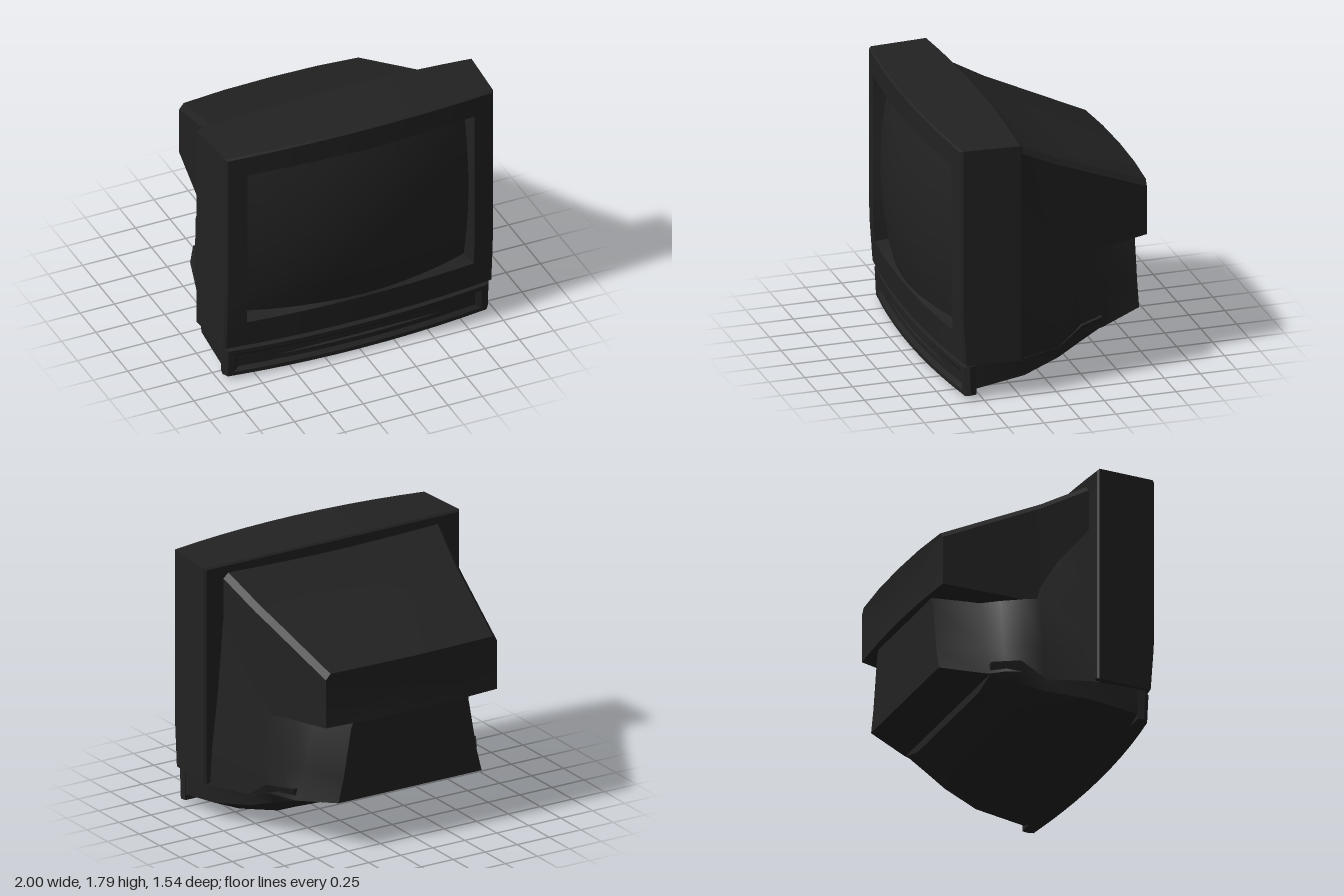
import * as THREE from 'three';
import { toCreasedNormals } from 'three/addons/utils/BufferGeometryUtils.js';

const casing = new THREE.MeshStandardMaterial({ color: 0x222222 });
casing.name = 'charcoal plastic';

// Skin closed rings (counter-clockwise from the front), listed back to front
function loft(name, rings, { capBack = true, capFront = true, crease = 0.5 } = {}) {
  const n = rings[0].length, pos = [], idx = [];
  rings.forEach(r => r.forEach(p => pos.push(...p)));
  for (let k = 0; k < rings.length - 1; k++) {
    for (let i = 0; i < n; i++) {
      const a = k * n + i, b = k * n + (i + 1) % n;
      idx.push(a, b, b + n, a, b + n, a + n);
    }
  }
  const cap = (k, front) => {
    const c = pos.length / 3, mid = [0, 1, 2].map(j => rings[k].reduce((s, p) => s + p[j], 0) / n);
    pos.push(...mid);
    for (let i = 0; i < n; i++) {
      const a = k * n + i, b = k * n + (i + 1) % n;
      idx.push(c, ...(front ? [a, b] : [b, a]));
    }
  };
  if (capBack) cap(0, false);
  if (capFront) cap(rings.length - 1, true);
  const geo = new THREE.BufferGeometry();
  geo.setAttribute('position', new THREE.Float32BufferAttribute(pos, 3));
  geo.setIndex(idx);
  const mesh = new THREE.Mesh(toCreasedNormals(geo, crease), casing);
  mesh.name = name;
  return mesh;
}

// Mirror a right-hand half outline, given top to bottom
function mirrored(z, half, bow = 0) {
  const w = Math.max(...half.map(p => p[0]));
  const put = ([x, y]) => [x, y, z - bow * (1 - (x / w) ** 2)];
  return [
    ...[...half].reverse().map(put),
    ...half.filter(p => p[0] > 0).map(([x, y]) => put([-x, y])),
  ];
}

// Subdivided rectangle with depth set by zAt(x, y) and an optional crowned top
function rect(hx, y0, y1, zAt, crown = 0, n = 10) {
  const corners = [[-hx, y0], [hx, y0], [hx, y1], [-hx, y1]], out = [];
  corners.forEach(([x, y], c) => {
    const [u, v] = corners[(c + 1) % 4];
    for (let i = 0; i < n; i++) {
      const px = x + (u - x) * i / n, py = y + (v - y) * i / n;
      const lift = c === 2 ? crown * (1 - (px / hx) ** 2) : 0;
      out.push([px, py + lift, zAt(px, py)]);
    }
  });
  return out;
}

export function createModel() {
  const tv = new THREE.Group();
  tv.name = 'television';

  // Bowed front frame with a recessed lip around the tube
  const back = x => 0.2 + 0.035 * x * x;
  const face = (x, y) => 0.718 - 0.068 * x * x - 0.025 * Math.max(0, (0.6 - y) / 0.35);
  const glass = (x, y) => 0.772 - 0.225 * x * x - 0.22 * (y - 1.05) ** 2;
  tv.add(loft('bezel', [
    rect(0.985, 0.26, 1.765, back, 0.015),
    rect(1, 0.25, 1.778, x => back(x) + 0.012, 0.015),
    rect(0.975, 0.25, 1.778, (x, y) => face(x, y) - 0.015, 0.015),
    rect(0.96, 0.26, 1.768, face, 0.015),
    rect(0.825, 0.45, 1.63, face),
    rect(0.8, 0.47, 1.61, (x, y) => Math.min(glass(x, y), face(x, y) - 0.01) - 0.005),
  ], { capFront: false }));

  // Domed picture tube, built as shrinking rings
  const rings = [];
  for (let k = 0; k < 8; k++) {
    const s = 1 - k / 8;
    rings.push(rect(0.805 * s, 1.04 - 0.575 * s, 1.04 + 0.575 * s, glass));
  }
  tv.add(loft('screen', rings, { capBack: false, crease: 1 }));

  // Tapering upper housing overhanging the back
  const hood = (z, w, t, b, bow) => mirrored(z, [
    [0, t], [w / 2, t], [w - 0.035, t - 0.005], [w, t - 0.045],
    [w, b], [w / 2, b], [0, b],
  ], bow);
  tv.add(loft('upperHousing', [
    hood(-0.738, 0.67, 1.285, 0.9, 0.032),
    hood(-0.2, 0.765, 1.515, 0.845, 0.01),
    hood(-0.07, 0.79, 1.57, 0.845, 0),
    hood(0.26, 0.86, 1.74, 0.845, 0),
  ]));

  // Lower housing, pinched in behind and flared towards the frame
  tv.add(loft('lowerHousing', [
    mirrored(-0.72, [[0.42, 0.95], [0.46, 0.85], [0.52, 0.5], [0.56, 0.34]]),
    mirrored(-0.42, [[0.5, 0.95], [0.56, 0.85], [0.63, 0.5], [0.7, 0.29]]),
    mirrored(-0.32, [[0.6, 0.95], [0.66, 0.85], [0.71, 0.5], [0.76, 0.3]]),
    mirrored(-0.2, [[0.73, 0.95], [0.768, 0.84], [0.8, 0.5], [0.81, 0.3]]),
    mirrored(-0.09, [[0.76, 1.3], [0.793, 0.84], [0.83, 0.5], [0.84, 0.24]]),
    mirrored(0.26, [[0.845, 1.6], [0.91, 0.84], [0.95, 0.5], [0.965, 0.24]]),
  ], { crease: 0.7 }));

  // Base tray rising towards the back
  tv.add(loft('base', [
    mirrored(-0.41, [[0.72, 0.37], [0.68, 0.28], [0.5, 0.235]]),
    mirrored(-0.24, [[0.82, 0.37], [0.76, 0.23], [0.6, 0.165]]),
    mirrored(-0.07, [[0.85, 0.25], [0.83, 0.17], [0.62, 0.088]]),
    mirrored(0.2, [[0.95, 0.245], [0.94, 0.12], [0.75, 0.04]]),
    mirrored(0.6, [[0.95, 0.255], [0.95, 0.06], [0.78, 0]]),
  ], { crease: 0.7 }));

  // Control panel with a shallow recess below the frame
  const panel = (x, y) => 0.68 + 0.05 * (y - 0.02) - 0.075 * x * x;
  const inset = d => (x, y) => panel(x, y) - d;
  tv.add(loft('controlPanel', [
    rect(0.955, 0.03, 0.235, () => 0.54),
    rect(0.965, 0.03, 0.235, inset(0.03)),
    rect(0.94, 0.022, 0.225, panel),
    rect(0.9, 0.05, 0.195, panel),
    rect(0.86, 0.075, 0.165, inset(0.025)),
    rect(0.6, 0.11, 0.13, inset(0.025)),
  ]));

  return tv;
}
